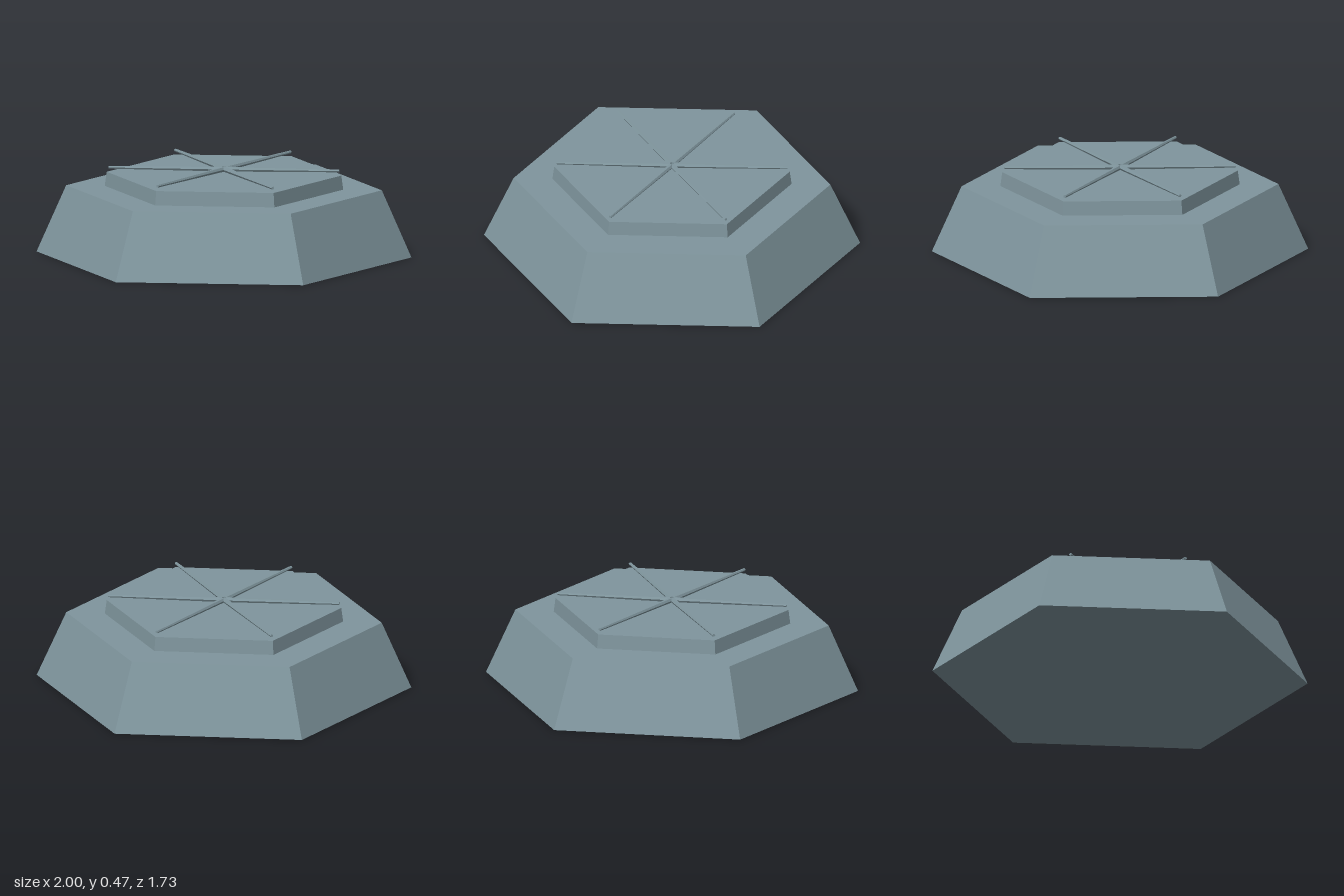
import * as THREE from 'three';

export function createModel() {
  const group = new THREE.Group();
  const metal = new THREE.MeshStandardMaterial({ color: 0x7f959d, flatShading: true });
  metal.name = 'blueGrey';

  // Tapered six-sided block with corners on the x axis
  function hexTier(name, rTop, rBottom, y0, y1) {
    const geo = new THREE.CylinderGeometry(rTop, rBottom, y1 - y0, 6, 1, false, Math.PI / 6);
    const mesh = new THREE.Mesh(geo, metal);
    mesh.name = name;
    mesh.position.y = (y0 + y1) / 2;
    group.add(mesh);
  }
  hexTier('base', 0.842, 1, 0, 0.36);
  hexTier('raisedPlatform', 0.626, 0.636, 0.36, 0.436);

  // Thin tapered rods hovering over the platform, one toward each corner
  const inner = 0.01, outer = 0.615;
  const rodGeo = new THREE.CylinderGeometry(0.008, 0.014, outer - inner, 6);
  rodGeo.rotateZ(-Math.PI / 2);
  rodGeo.translate((inner + outer) / 2, 0, 0);
  const spokes = new THREE.Group();
  spokes.name = 'spokes';
  spokes.position.y = 0.461;
  for (let i = 0; i < 6; i++) {
    const rod = new THREE.Mesh(rodGeo, metal);
    rod.name = 'spoke';
    rod.rotation.y = (i * Math.PI) / 3;
    spokes.add(rod);
  }
  group.add(spokes);
  return group;
}
